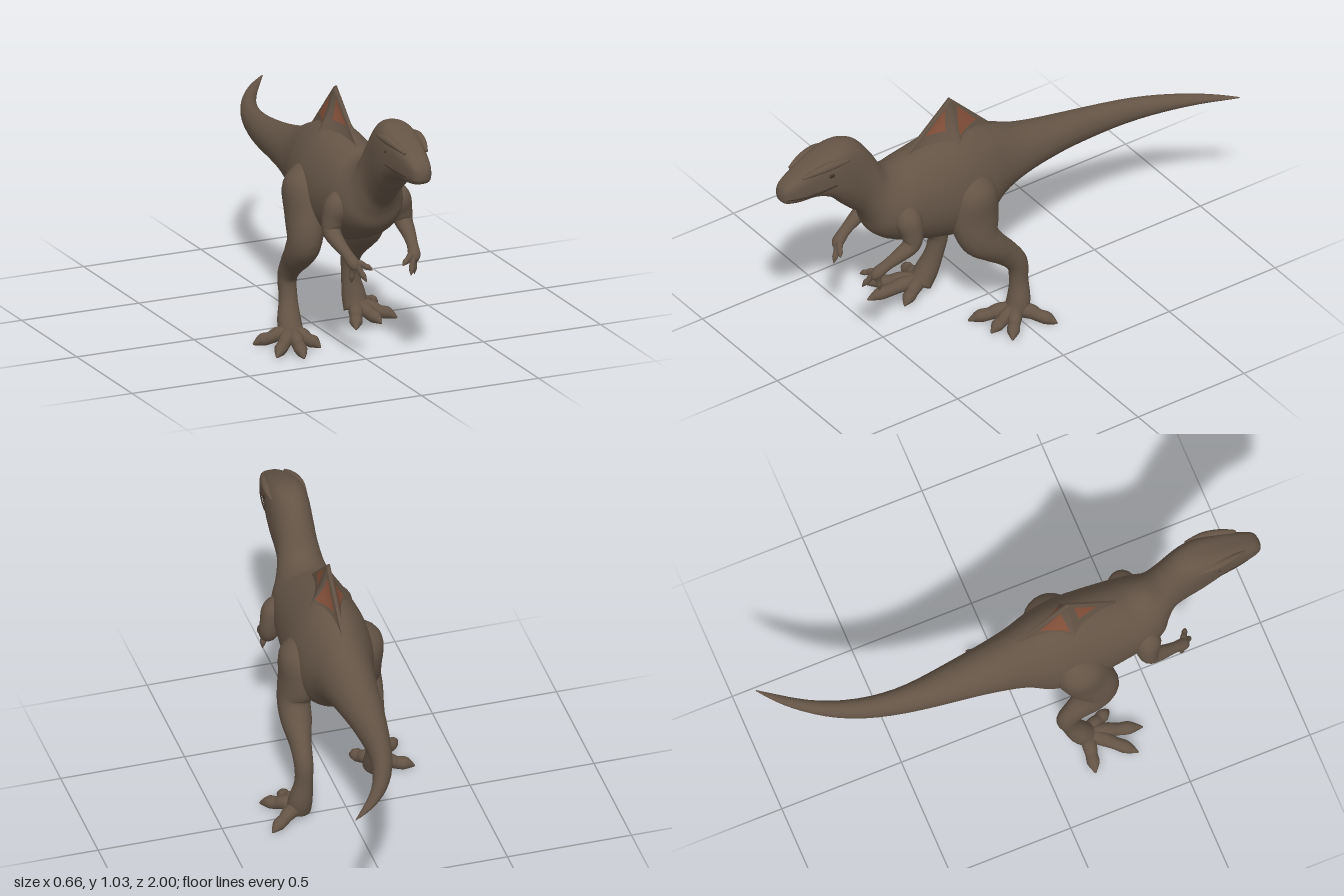
import * as THREE from 'three';

const hide = new THREE.MeshStandardMaterial({ color: 0x645446 });
hide.name = 'brown hide';
const rust = new THREE.MeshStandardMaterial({ color: 0x85513a, side: THREE.DoubleSide });
rust.name = 'rust patch';
const dark = new THREE.MeshStandardMaterial({ color: 0x3a3028 });
dark.name = 'dark brown';

const V = (x, y, z) => new THREE.Vector3(x, y, z);
const { smoothstep, lerp } = THREE.MathUtils;

function add(group, name, geometry, material = hide) {
  const mesh = new THREE.Mesh(geometry, material);
  mesh.name = name;
  group.add(mesh);
  return mesh;
}

// Catmull-Rom subdivision of rows of numbers
function smooth(rows, n) {
  const out = [];
  for (let i = 0; i < rows.length - 1; i++) {
    const a = rows[Math.max(i - 1, 0)], b = rows[i], c = rows[i + 1], d = rows[Math.min(i + 2, rows.length - 1)];
    for (let k = 0; k < n; k++) {
      const t = k / n;
      out.push(b.map((_, j) => b[j] + 0.5 * t * (c[j] - a[j] + t * (2 * a[j] - 5 * b[j] + 4 * c[j] - d[j]
        + t * (3 * (b[j] - c[j]) + d[j] - a[j])))));
    }
  }
  out.push(rows[rows.length - 1]);
  return out;
}

// Closed skin over rings of points, turned so that its faces look outward
function loft(rings) {
  const n = rings[0].length, pts = rings.flat(), idx = [];
  for (let i = 0; i < rings.length - 1; i++) {
    for (let j = 0; j < n; j++) {
      const a = i * n + j, b = i * n + (j + 1) % n;
      idx.push(a, b, a + n, b, b + n, a + n);
    }
  }
  for (const [r, last] of [[0, false], [rings.length - 1, true]]) {
    const mid = rings[r].reduce((s, p) => s.add(p), V(0, 0, 0)).divideScalar(n);
    const m = pts.push(mid) - 1;
    for (let j = 0; j < n; j++) {
      const a = r * n + j, b = r * n + (j + 1) % n;
      if (last) idx.push(m, a, b); else idx.push(m, b, a);
    }
  }
  let volume = 0;
  for (let i = 0; i < idx.length; i += 3) {
    volume += pts[idx[i]].dot(V(0, 0, 0).crossVectors(pts[idx[i + 1]], pts[idx[i + 2]]));
  }
  if (volume < 0) idx.reverse();
  const g = new THREE.BufferGeometry().setFromPoints(pts);
  g.setIndex(idx);
  g.computeVertexNormals();
  return g;
}

// Limb along rows of [x, y, z, side radius, other radius]
function limb(rows, ref = V(1, 0, 0), sides = 16) {
  const s = smooth(rows, 5);
  const at = i => V(...s[Math.min(Math.max(i, 0), s.length - 1)].slice(0, 3));
  return loft(s.map((r, i) => {
    const t = at(i + 1).sub(at(i - 1)).normalize();
    const u = ref.clone().addScaledVector(t, -ref.dot(t)).normalize();
    const w = V(0, 0, 0).crossVectors(t, u);
    return Array.from({ length: sides }, (_, j) => {
      const q = j / sides * Math.PI * 2;
      return at(i).addScaledVector(u, Math.cos(q) * r[3]).addScaledVector(w, Math.sin(q) * r[4]);
    });
  }));
}

// Head, neck, trunk and tail: [top z, top y, bottom z, bottom y, half width]
const bodyRows = [
  [1, 0.90, 1, 0.875, 0.012],
  [0.985, 0.932, 0.985, 0.857, 0.037],
  [0.93, 0.967, 0.93, 0.845, 0.053],
  [0.85, 1.005, 0.85, 0.842, 0.067],
  [0.77, 1.03, 0.78, 0.812, 0.079],
  [0.70, 1.036, 0.73, 0.76, 0.082],
  [0.64, 1.01, 0.675, 0.705, 0.08],
  [0.58, 0.935, 0.63, 0.665, 0.083],
  [0.525, 0.85, 0.605, 0.62, 0.10],
  [0.455, 0.825, 0.575, 0.55, 0.13],
  [0.38, 0.842, 0.47, 0.485, 0.148],
  [0.20, 0.875, 0.22, 0.41, 0.164],
  [0.08, 0.852, 0.09, 0.425, 0.15],
  [-0.02, 0.812, -0.01, 0.50, 0.118],
  [-0.126, 0.765, -0.126, 0.545, 0.098],
  [-0.286, 0.727, -0.286, 0.567, 0.076],
  [-0.5, 0.70, -0.5, 0.578, 0.05],
  [-0.75, 0.683, -0.75, 0.61, 0.035],
  [-0.92, 0.677, -0.92, 0.65, 0.022],
  [-1, 0.676, -1, 0.672, 0.003],
];

// Boxy head, egg-shaped trunk and a tail that sweeps to the left
function bodyRing([tz, ty, bz, by, hw]) {
  const round = 1 - 0.33 * smoothstep(tz, 0.58, 0.78);
  const taper = 0.12 * smoothstep(tz, -0.35, 0) * (1 - smoothstep(tz, 0.45, 0.62));
  const cx = 0.012 + 0.25 * Math.max(0, (-tz - 0.25) / 0.75) ** 3;
  const pw = v => Math.sign(v) * Math.abs(v) ** round;
  return Array.from({ length: 40 }, (_, j) => {
    const q = j / 40 * Math.PI * 2, s = pw(Math.sin(q)), k = (s + 1) / 2;
    return V(cx + pw(Math.cos(q)) * hw * (1 - taper * s), lerp(by, ty, k), lerp(bz, tz, k));
  });
}

// Sail on the back: a peaked outline, flaring toward the base
const sailX = 0.012, peakZ = 0.195;
const sailTop = z => 1.022 - (z > peakZ ? 0.9 : 1.02) * Math.abs(z - peakZ);
const sailHalf = (z, y) => 0.006 + 1.1 * Math.max(0, sailTop(z) - y) ** 1.6;

function sailRing(z) {
  const ring = [], top = sailTop(z), base = Math.min(0.79, top - 0.03);
  for (const side of [1, -1]) {
    for (let k = 0; k <= 12; k++) {
      const y = lerp(base, top, (side > 0 ? k : 12 - k) / 12);
      ring.push(V(sailX + side * sailHalf(z, y), y, z));
    }
  }
  return ring;
}

// Triangle with corners [z, y], laid just over one side of the sail
function sailPatch(a, b, c, side) {
  const g = new THREE.PlaneGeometry(1, 1, 8, 10), p = g.attributes.position;
  for (let i = 0; i < p.count; i++) {
    const u = p.getX(i) + 0.5, v = 0.5 - p.getY(i);
    const [z, y] = [0, 1].map(k => lerp(a[k], lerp(b[k], c[k], u), v));
    p.setXYZ(i, sailX + side * (sailHalf(z, y) + 0.004), y, z);
  }
  g.computeVertexNormals();
  return g;
}

// Toe or finger from a base to a tip, with a knuckle and a tapering claw
function digit(base, tip, r, lift, ref) {
  const row = (t, up, k) => {
    const p = V(...base).lerp(V(...tip), t);
    return [p.x, p.y + up * lift, p.z, r * k, r * k];
  };
  return limb([row(0, 0, 1), row(0.35, 1, 0.95), row(0.55, 0.6, 0.8), row(0.75, 0.7, 0.82),
    row(0.9, 0.35, 0.45), row(1, 0, 0.1)], ref, 10);
}

// Legs share all but their stride: [x, y, left z, right z, side radius, other radius]
const legRows = [
  [0.09, 0.73, 0.17, 0.18, 0.03, 0.04],
  [0.114, 0.64, 0.17, 0.19, 0.092, 0.098],
  [0.135, 0.53, 0.17, 0.225, 0.078, 0.104],
  [0.156, 0.44, 0.16, 0.26, 0.065, 0.084],
  [0.162, 0.375, 0.105, 0.225, 0.06, 0.064],
  [0.166, 0.315, 0.04, 0.165, 0.043, 0.052],
  [0.168, 0.25, -0.01, 0.127, 0.037, 0.044],
  [0.17, 0.17, -0.017, 0.14, 0.036, 0.038],
  [0.18, 0.09, -0.01, 0.17, 0.047, 0.045],
  [0.183, 0.037, 0.005, 0.2, 0.049, 0.046],
];
// Toe tips as [x, z]
const toeTips = {
  left: [[0.325, -0.095], [0.315, 0.11], [0.23, 0.15], [0.11, 0.175]],
  right: [[-0.33, 0.175], [-0.315, 0.36], [-0.225, 0.415], [-0.11, 0.32]],
};
// Arm as [x, y, z, radius], and finger tips
const armRows = [[0.09, 0.69, 0.47, 0.03], [0.122, 0.64, 0.48, 0.055], [0.145, 0.58, 0.475, 0.045],
  [0.153, 0.535, 0.485, 0.036], [0.15, 0.505, 0.535, 0.028], [0.14, 0.475, 0.59, 0.022],
  [0.13, 0.445, 0.63, 0.024], [0.125, 0.425, 0.643, 0.014]];
const fingerTips = [[0.065, 0.42, 0.665], [0.095, 0.38, 0.675], [0.135, 0.365, 0.62]];
const browRows = [[0.045, 0.966, 0.92, 0.006], [0.058, 0.982, 0.86, 0.014], [0.067, 0.99, 0.79, 0.016],
  [0.068, 0.985, 0.72, 0.008]];
const lipPoints = [[0.034, 0.882, 0.985], [0.051, 0.878, 0.93], [0.065, 0.882, 0.86], [0.077, 0.895, 0.78]];

export function createModel() {
  const model = new THREE.Group();
  model.name = 'dinosaur';

  add(model, 'body', loft(smooth(bodyRows, 5).map(bodyRing)));
  const sailZ = Array.from({ length: 41 }, (_, i) => (i < 20 ? lerp(0.41, peakZ, i / 20) : lerp(peakZ, -0.04, i / 20 - 1)));
  add(model, 'sail', loft(sailZ.map(sailRing)));

  for (const [name, s] of [['left', 1], ['right', -1]]) {
    const at = (x, y, z) => [0.014 + s * x, y, z];
    const tube = rows => limb(rows.map(([x, y, z, r]) => [...at(x, y, z), r, r]));

    // Leg and toes
    const leg = legRows.map(([x, y, zl, zr, a, b]) => [0.006 + s * x, y, s > 0 ? zl : zr, a, b]);
    add(model, name + 'Leg', limb(leg, V(1, 0, 0), 24));
    const [footX, , footZ] = leg[leg.length - 1];
    for (const [x, z] of toeTips[name]) {
      add(model, name + 'Toe', digit([footX, 0.045, footZ], [x, 0.012, z], 0.031, 0.012, V(0, 1, 0)));
    }

    // Arm and fingers
    add(model, name + 'Arm', tube(armRows));
    for (const tip of fingerTips) {
      add(model, name + 'Finger', digit(at(0.127, 0.45, 0.628), at(...tip), 0.014, 0.006, V(1, 0.2, 0.3)));
    }

    // Brow, eye and mouth line
    add(model, name + 'Brow', tube(browRows));
    const eye = add(model, name + 'Eye', new THREE.SphereGeometry(0.011, 16, 10), dark);
    eye.position.set(...at(0.072, 0.945, 0.80));
    eye.scale.set(0.5, 0.8, 1.2);
    const lip = new THREE.CatmullRomCurve3(lipPoints.map(p => V(...at(...p))));
    add(model, name + 'MouthLine', new THREE.TubeGeometry(lip, 20, 0.003, 6), dark);

    // Painted patches on the sail
    add(model, name + 'FrontPatch', sailPatch([0.222, 0.985], [0.32, 0.895], [0.235, 0.90], s), rust);
    add(model, name + 'RearPatch', sailPatch([0.165, 0.978], [0.185, 0.872], [0.075, 0.878], s), rust);
  }
  return model;
}
